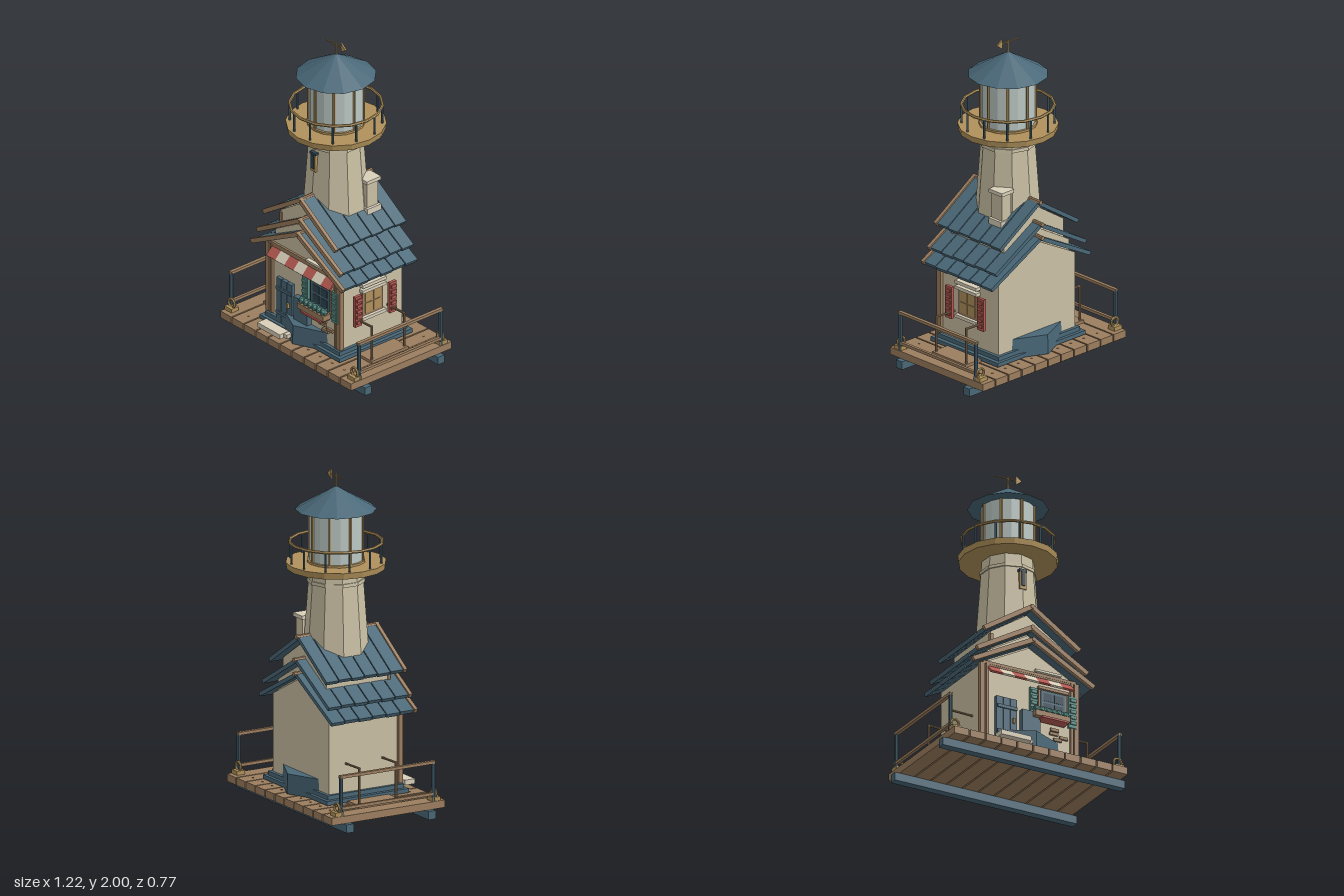
import * as THREE from 'three';

const mat = (name, color) => Object.assign(new THREE.MeshStandardMaterial({ color }), { name });

export function createModel() {
  const root = new THREE.Group();
  root.name = 'lighthouseCottage';
  const blue = mat('slateBlue', 0x4a6878), wood = mat('wood', 0x9c7e5f), cream = mat('plaster', 0xcbc1a5);
  const ochre = mat('ochre', 0xb0915a), red = mat('red', 0xb55a52), teal = mat('teal', 0x5a9088);
  const glass = mat('glass', 0xbcc8c4), pale = mat('pale', 0xd9d0ba), dark = mat('darkBlue', 0x2f4552);

  // Helpers: faceted mesh, box, upright cylinder, rod between two points
  const add = (name, geo, m, x = 0, y = 0, z = 0, parent = root) => {
    const g = geo.index ? geo.toNonIndexed() : geo;
    g.computeVertexNormals();
    const mesh = new THREE.Mesh(g, m);
    mesh.name = name;
    mesh.position.set(x, y, z);
    parent.add(mesh);
    return mesh;
  };
  const box = (name, m, w, h, d, x, y, z) => add(name, new THREE.BoxGeometry(w, h, d), m, x, y, z);
  const cyl = (name, m, rt, rb, y0, y1, n, x = 0, z = 0) =>
    add(name, new THREE.CylinderGeometry(rt, rb, y1 - y0, n), m, x, (y0 + y1) / 2, z);
  const rod = (name, m, a, b, r) => {
    const p = new THREE.Vector3(...a), q = new THREE.Vector3(...b), d = q.clone().sub(p);
    const mesh = add(name, new THREE.CylinderGeometry(r, r, d.length(), 8), m);
    mesh.position.copy(p).add(q).multiplyScalar(0.5);
    mesh.quaternion.setFromUnitVectors(new THREE.Vector3(0, 1, 0), d.normalize());
    return mesh;
  };

  // Deck on two beams
  for (const s of [-1, 1]) box('deckBeam', blue, 1.22, 0.05, 0.05, 0, 0.025, s * 0.28);
  for (let i = 0; i < 11; i++) {
    const x = (i - 5) * 0.1062;
    box('deckPlank', wood, 0.097, 0.045, 0.775, x, 0.0725, 0);
    for (const s of [-1, 1]) cyl('deckNail', wood, 0.007, 0.007, 0.09, 0.098, 6, x, s * 0.305);
  }

  // Side railings, mooring rings, side steps and handrails
  for (const s of [-1, 1]) {
    box('railTop', wood, 0.022, 0.018, 0.65, s * 0.565, 0.33, 0);
    box('railLow', wood, 0.018, 0.018, 0.64, s * 0.565, 0.14, 0);
    box('sideStep', wood, 0.16, 0.018, 0.28, s * 0.4, 0.104, 0);
    for (const t of [-1, 1]) {
      cyl('railPost', blue, 0.012, 0.012, 0.09, 0.33, 8, s * 0.565, t * 0.315);
      box('ringBase', ochre, 0.06, 0.025, 0.055, s * 0.545, 0.107, t * 0.33);
      add('mooringRing', new THREE.TorusGeometry(0.027, 0.008, 6, 14), ochre, s * 0.545, 0.14, t * 0.33);
      rod('handrailPost', wood, [s * 0.46, 0.1, t * 0.125], [s * 0.46, 0.335, t * 0.125], 0.008);
      rod('handrail', wood, [s * 0.465, 0.33, t * 0.125], [s * 0.3, 0.325, t * 0.125], 0.007);
    }
  }

  // Foundation and eight-sided rock
  box('foundationLow', blue, 0.71, 0.025, 0.56, 0, 0.115, 0);
  box('foundationTop', blue, 0.66, 0.03, 0.52, 0, 0.138, 0);
  cyl('rock', blue, 0.33, 0.335, 0.1, 0.22, 8).scale.x = 0.9;
  box('rockLedge', blue, 0.12, 0.17, 0.05, 0, 0.285, 0.25);

  // Gabled storeys: walls, planked roof, ridge beam and front barge boards
  const storey = (name, wx, wz, y0, peak, ex, ey, z0, z1) => {
    const slope = (peak - ey) / ex, a = Math.atan(slope), len = Math.hypot(ex, peak - ey);
    const under = (x) => peak - 0.03 - slope * x;
    const s = new THREE.Shape([[-wx, y0], [wx, y0], [wx, under(wx)], [0, under(0)], [-wx, under(wx)]]
      .map((p) => new THREE.Vector2(...p)));
    add(name + 'Walls', new THREE.ExtrudeGeometry(s, { depth: wz * 2, bevelEnabled: false }), cream, 0, 0, -wz);
    const n = 6, w = (z1 - z0) / n;
    for (const side of [-1, 1]) {
      const x = side * ex / 2, y = (peak + ey) / 2;
      for (let i = 0; i < n; i++) {
        const stretch = (i % 2) * 0.008;
        box(name + 'RoofPlank', blue, len - stretch, 0.024, w - 0.006, x, y - 0.006, z0 + (i + 0.5) * w)
          .rotation.z = -side * a;
      }
      box(name + 'RoofUnderlay', blue, len - 0.03, 0.012, z1 - z0 - 0.01, x, y - 0.012, (z0 + z1) / 2)
        .rotation.z = -side * a;
      box(name + 'BargeBoard', wood, len + 0.01, 0.028, 0.022, x, y, z1 + 0.01).rotation.z = -side * a;
    }
    rod(name + 'RidgeBeam', wood, [0, peak, z0 - 0.01], [0, peak, z1 + 0.025], 0.014);
  };
  storey('house', 0.31, 0.24, 0.14, 0.815, 0.4, 0.605, -0.28, 0.285);
  storey('middle', 0.27, 0.23, 0.6, 0.9, 0.365, 0.69, -0.28, 0.27);
  storey('attic', 0.24, 0.215, 0.7, 1.035, 0.315, 0.83, -0.265, 0.265);
  for (const s of [-1, 1]) {
    box('cornerPost', wood, 0.03, 0.46, 0.03, s * 0.315, 0.39, 0.24);
    box('innerPost', wood, 0.016, 0.46, 0.02, s * 0.283, 0.39, 0.245);
    box('atticPost', wood, 0.02, 0.11, 0.02, s * 0.235, 0.78, 0.212);
  }
  box('gableTie', wood, 0.62, 0.018, 0.02, 0, 0.625, 0.243);

  // Chimney
  box('chimney', cream, 0.075, 0.22, 0.085, 0.16, 1.0, -0.11);
  box('chimneyCap', pale, 0.1, 0.022, 0.11, 0.16, 1.11, -0.11);
  box('chimneyCollar', pale, 0.1, 0.04, 0.105, 0.165, 0.92, -0.11);

  // Door, step slab and exposed bricks
  for (let i = 0; i < 3; i++) box('doorPlank', blue, 0.043, 0.285, 0.025, -0.205 + i * 0.047, 0.28, 0.25);
  for (const y of [0.2, 0.36]) box('doorBrace', blue, 0.13, 0.02, 0.01, -0.158, y, 0.266);
  box('doorHandle', ochre, 0.012, 0.03, 0.016, -0.115, 0.28, 0.27);
  box('doorStep', pale, 0.2, 0.03, 0.07, -0.16, 0.135, 0.345);
  box('doorStepEnd', pale, 0.03, 0.025, 0.04, -0.048, 0.135, 0.33);
  for (const [x, y] of [[0.165, 0.27], [0.19, 0.235], [0.17, 0.295], [0.23, 0.255]])
    box('brick', wood, 0.055, 0.018, 0.014, x, y, 0.246);

  // Striped awning
  for (let i = 0; i < 7; i++)
    box('awningStripe', i % 2 ? pale : red, 0.08, 0.012, 0.075, (i - 3) * 0.08, 0.58, 0.265).rotation.x = 0.8;
  box('awningRail', wood, 0.56, 0.012, 0.012, 0, 0.612, 0.245);
  box('shelf', pale, 0.17, 0.014, 0.03, 0.12, 0.645, 0.25);

  // Front window with shutters and flower box
  box('frontWindowFrame', wood, 0.19, 0.17, 0.016, 0.155, 0.45, 0.244);
  box('frontWindowSash', blue, 0.165, 0.145, 0.016, 0.155, 0.455, 0.25);
  for (const sx of [-1, 1]) {
    for (const sy of [-1, 1]) box('frontPane', dark, 0.06, 0.05, 0.008, 0.155 + sx * 0.036, 0.455 + sy * 0.032, 0.256);
    box('frontShutter', teal, 0.05, 0.2, 0.018, 0.155 + sx * 0.13, 0.43, 0.252);
    for (let i = 0; i < 5; i++)
      box('shutterSlat', teal, 0.038, 0.02, 0.01, 0.155 + sx * 0.13, 0.36 + i * 0.036, 0.264);
  }
  box('frontLintel', wood, 0.2, 0.018, 0.03, 0.155, 0.54, 0.252);
  box('flowerBox', wood, 0.23, 0.035, 0.06, 0.125, 0.352, 0.28);
  box('flowerBoxTrim', red, 0.18, 0.012, 0.07, 0.14, 0.33, 0.285);
  for (let i = 0; i < 6; i++)
    add('plant', new THREE.IcosahedronGeometry(0.026, 0), teal, 0.03 + i * 0.038, 0.385, 0.285);

  // Side window with red shutters
  box('sideWindowFrame', wood, 0.02, 0.18, 0.16, 0.315, 0.41, 0);
  for (const sz of [-1, 1]) {
    for (const sy of [-1, 1]) box('sidePane', ochre, 0.008, 0.065, 0.055, 0.325, 0.41 + sy * 0.037, sz * 0.033);
    box('sideShutter', red, 0.02, 0.2, 0.052, 0.345, 0.39, sz * 0.133);
    for (let i = 0; i < 5; i++) box('redSlat', red, 0.01, 0.02, 0.038, 0.359, 0.32 + i * 0.036, sz * 0.133);
  }
  box('sideSill', pale, 0.04, 0.02, 0.18, 0.325, 0.315, 0);
  for (const y of [0.495, 0.53]) box('sideLintel', pale, 0.04, 0.02, 0.18, 0.325, y, 0);

  // Tower shaft and slit window
  cyl('tower', cream, 0.155, 0.215, 0.6, 1.43, 10);
  cyl('towerBand', cream, 0.168, 0.17, 1.335, 1.355, 10);
  box('slitWindowFrame', ochre, 0.042, 0.12, 0.03, 0, 1.25, 0.163);
  box('slitWindowPane', dark, 0.024, 0.09, 0.008, 0, 1.255, 0.18);
  box('slitWindowHead', dark, 0.05, 0.016, 0.036, 0, 1.308, 0.163);

  // Gallery with railing
  cyl('gallery', ochre, 0.295, 0.29, 1.42, 1.457, 16);
  add('galleryRail', new THREE.TorusGeometry(0.272, 0.009, 6, 16).rotateX(Math.PI / 2), ochre, 0, 1.575, 0);
  for (let i = 0; i < 12; i++) {
    const t = (i + 0.5) * Math.PI / 6;
    cyl('galleryPost', blue, 0.007, 0.007, 1.45, 1.575, 6, 0.27 * Math.sin(t), 0.27 * Math.cos(t));
  }

  // Lantern room, roof and weather vane
  cyl('lanternGlass', glass, 0.158, 0.158, 1.455, 1.775, 16);
  for (let i = 0; i < 8; i++) {
    const t = i * Math.PI / 4;
    cyl('lanternBar', ochre, 0.009, 0.009, 1.455, 1.775, 6, 0.16 * Math.sin(t), 0.16 * Math.cos(t));
  }
  cyl('lanternSill', ochre, 0.172, 0.172, 1.455, 1.47, 16);
  add('lanternRoof', new THREE.ConeGeometry(0.238, 0.14, 12), blue, 0, 1.84, 0);
  cyl('vaneRod', ochre, 0.006, 0.008, 1.89, 1.985, 6);
  rod('vaneArm', ochre, [-0.09, 1.968, 0], [0.06, 1.968, 0], 0.004);
  const head = new THREE.Shape([[0.05, -0.03], [0.09, 0], [0.05, 0.03]].map((p) => new THREE.Vector2(...p)));
  add('vaneHead', new THREE.ExtrudeGeometry(head, { depth: 0.01, bevelEnabled: false }), ochre, 0, 1.968, -0.005);

  return root;
}
